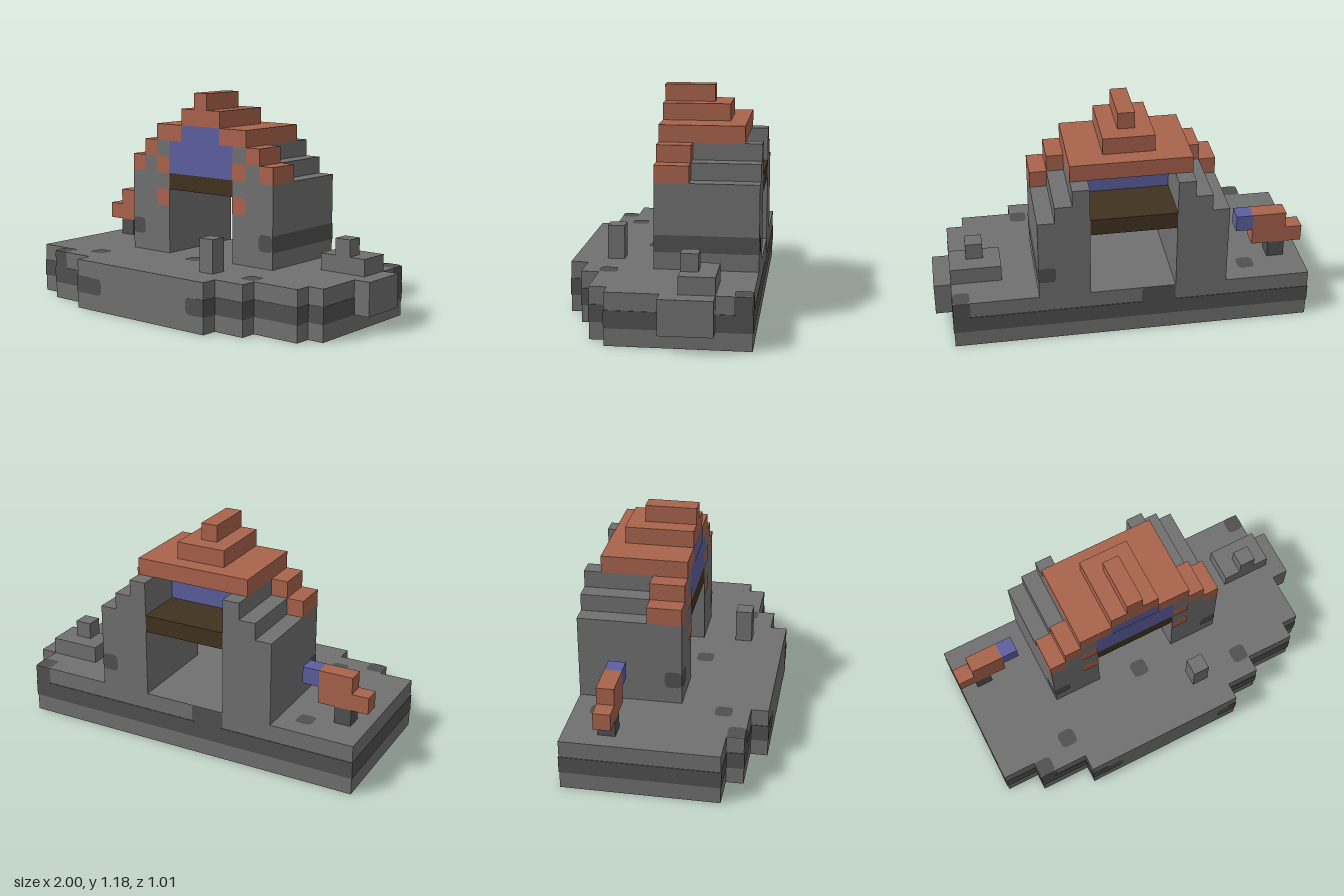
import * as THREE from 'three';

const U = 1 / 11; // one block
const makeMat = (name, color) => {
  const m = new THREE.MeshStandardMaterial({ color });
  m.name = name;
  return m;
};

export function createModel() {
  const root = new THREE.Group();
  root.name = 'ruinedShrine';
  const stone = makeMat('stone', 0x707070);
  const dark = makeMat('darkStone', 0x505050);
  const red = makeMat('redTile', 0xa9634c);
  const blue = makeMat('bluePanel', 0x5d5f9f);
  const brown = makeMat('darkWood', 0x403220);

  // Box from block ranges; depth counts blocks from the back edge; grow pushes the sides outward
  const box = (name, mat, x0, x1, y0, y1, k0, k1, grow = 0) => {
    const g = new THREE.BoxGeometry((x1 - x0) * U + grow * 2, (y1 - y0) * U, (k1 - k0) * U + grow * 2);
    const m = new THREE.Mesh(g, mat);
    m.name = name;
    m.position.set((x0 + x1) / 2 * U, (y0 + y1) / 2 * U, ((k0 + k1) / 2 - 5.5) * U);
    root.add(m);
    return m;
  };

  // Flat rounded patch, w by h blocks, on a face turned to the given direction
  const patch = (name, mat, dir, x, y, k, w = 1, h = 1, r = 0.3) => {
    const W = w * U / 2, H = h * U / 2, R = r * U;
    const s = new THREE.Shape();
    s.moveTo(-W + R, -H);
    s.lineTo(W - R, -H);
    s.quadraticCurveTo(W, -H, W, -H + R);
    s.lineTo(W, H - R);
    s.quadraticCurveTo(W, H, W - R, H);
    s.lineTo(-W + R, H);
    s.quadraticCurveTo(-W, H, -W, H - R);
    s.lineTo(-W, -H + R);
    s.quadraticCurveTo(-W, -H, -W + R, -H);
    const m = new THREE.Mesh(new THREE.ShapeGeometry(s, 4), mat);
    m.name = name;
    const e = 0.003;
    m.position.set(x * U, y * U, (k - 5.5) * U);
    if (dir === 'top') { m.rotation.x = -Math.PI / 2; m.position.y += e; }
    if (dir === 'front') m.position.z += e;
    if (dir === 'back') { m.rotation.y = Math.PI; m.position.z -= e; }
    if (dir === 'left') { m.rotation.y = Math.PI / 2; m.position.x += e; }
    if (dir === 'right') { m.rotation.y = -Math.PI / 2; m.position.x -= e; }
    root.add(m);
  };

  // Stepped base with a dark layer round its sides
  [[-11, 10, 0, 8], [-11, 9, 8, 9], [-9, 6, 9, 10], [-6, 4, 10, 11]].forEach(([x0, x1, k0, k1], i) => {
    box('base', stone, x0, x1, 0, 3, k0, k1);
    if (i < 3) box('baseStripe', dark, x0, x1, 1, 2, k0, k1, 0.003);
  });
  box('baseStripe', dark, -6, -5, 1, 2, 10, 11, 0.003);
  box('baseStripe', dark, 3.5, 4, 1, 2, 10, 11, 0.003);
  patch('baseStripeEnd', dark, 'front', -4.8, 1.5, 11, 1.6);
  patch('baseStripeEnd', dark, 'front', 3.3, 1.5, 11, 1.2);
  box('baseLedge', stone, 10, 11, 1, 3, 2, 5);
  patch('baseStain', dark, 'front', -8.5, 2.5, 10, 1, 1, 0.15);
  patch('baseStain', dark, 'left', 10, 2.5, 0.5, 1, 1, 0.1);
  patch('baseStain', dark, 'back', 9.5, 2.5, 0, 1, 1, 0.1);
  patch('baseStain', dark, 'back', -2, 2.5, 0, 2, 1, 0.2);

  // Dark spots on the ground
  [[-7.5, 1.5], [-0.5, 6.5], [-6.5, 8.5], [5.5, 8.5], [-8.5, 9.5], [9.5, 0.5]]
    .forEach(([x, k]) => patch('groundSpot', dark, 'top', x, 3, k));

  // Mirrored pillars, stepped up toward the middle line at x = -0.5 blocks
  for (const s of [-1, 1]) {
    const span = (a, b) => [-0.5 + s * a, -0.5 + s * b].sort((p, q) => p - q);
    [[5.5, 4.5, 8], [4.5, 3.5, 9], [3.5, 2.5, 10]].forEach(([a, b, top], i) => {
      box('pillar', stone, ...span(a, b), 3, top, 0, 6);
      if (i < 2) box('eaveTile', red, ...span(a, b), top, top + 1, 4, 6);
    });
    for (const y of [6.5, 8.5]) patch('pillarTile', red, 'front', -0.5 + s * 3, y, 6, 1, 1, 0);
    patch('pillarStain', dark, 'front', -0.5 + s * 5, 4.5, 6);
  }
  patch('pillarStain', dark, 'left', 5, 4.5, 3, 6, 1, 0);
  patch('pillarStain', dark, 'right', -6, 4.5, 5.5);
  patch('pillarStain', dark, 'back', 4.5, 4.5, 0);

  // Beam and panel between the pillars
  box('beam', brown, -3, 2, 7, 8, 0, 6);
  box('panel', blue, -3, 2, 8, 10, 3, 6);
  patch('panelTop', blue, 'front', -0.5, 10.5, 6, 3, 1, 0);

  // Stepped roof
  box('roof', red, -4, 3, 10, 11, 1, 6);
  box('roof', red, -2, 1, 11, 12, 2, 6);
  box('roofRidge', red, -1, 0, 12, 13, 3, 6);

  // Small lantern tree
  box('treeTrunk', dark, -10, -9, 3, 4, 2, 3);
  box('treeCrown', red, -11, -8, 4, 5, 2, 3);
  box('treeCrown', red, -10, -8, 5, 6, 2, 3);
  box('treeTip', blue, -8, -7, 5, 6, 2, 3);

  // Stacked stones and the front post
  box('stoneStack', stone, 7, 10, 3, 4, 2, 4);
  box('stoneStackTop', stone, 8, 9, 4, 5, 3, 4);
  box('post', stone, 2, 3, 3, 5, 8, 9);

  return root;
}
